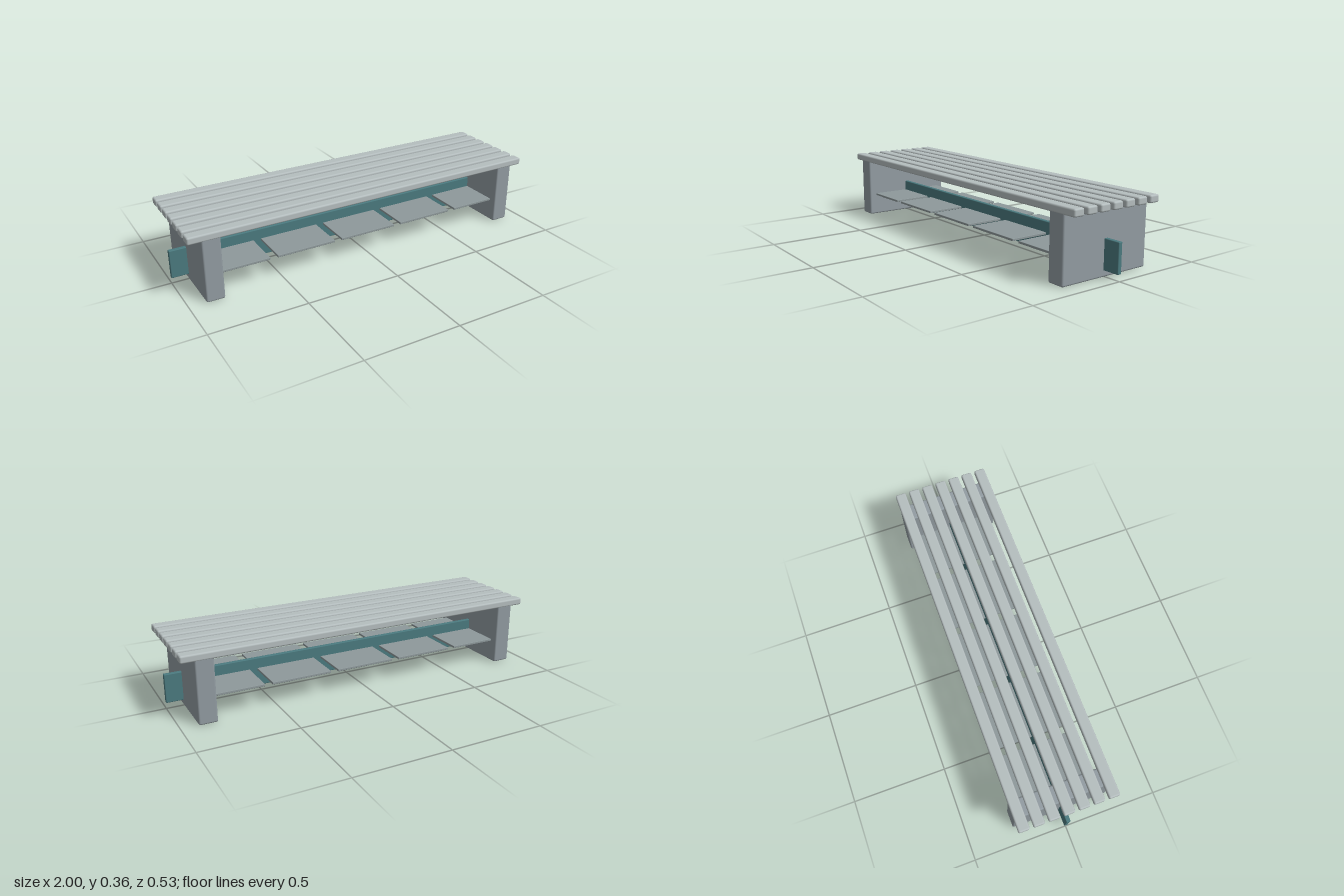
import * as THREE from 'three';
import { RoundedBoxGeometry } from 'three/addons/geometries/RoundedBoxGeometry.js';

function material(name, color) {
  const m = new THREE.MeshStandardMaterial({ color });
  m.name = name;
  return m;
}

export function createModel() {
  const bench = new THREE.Group();
  bench.name = 'bench';
  const slatGrey = material('pale slat grey', 0xb5bebf);
  const legGrey = material('concrete grey', 0x929ca2);
  const shelfGrey = material('shelf grey', 0x8e999b);
  const teal = material('teal', 0x4b7a7f);

  // Softly edged block given by its size and centre
  function block(name, mat, [w, h, d], [x, y, z], radius) {
    const mesh = new THREE.Mesh(new RoundedBoxGeometry(w, h, d, 2, radius), mat);
    mesh.position.set(x, y, z);
    mesh.name = name;
    bench.add(mesh);
  }

  // Seven seat slats running the full length
  for (let i = -3; i <= 3; i++) {
    block('seatSlat', slatGrey, [1.96, 0.038, 0.058], [0, 0.341, i * 0.078], 0.009);
  }

  // Solid end legs
  for (const side of [-1, 1]) {
    block(side > 0 ? 'leftLeg' : 'rightLeg', legGrey, [0.094, 0.334, 0.522], [side * 0.866, 0.167, 0], 0.009);
  }

  // Stretcher beam passing through both legs
  block('stretcher', teal, [2, 0.15, 0.022], [0, 0.107, 0.001], 0.004);

  // Row of thin shelf panels set through the stretcher
  for (let i = -2; i <= 2; i++) {
    block('shelfPanel', shelfGrey, [0.32, 0.012, 0.44], [i * 0.361, 0.121, 0], 0.002);
  }

  return bench;
}
